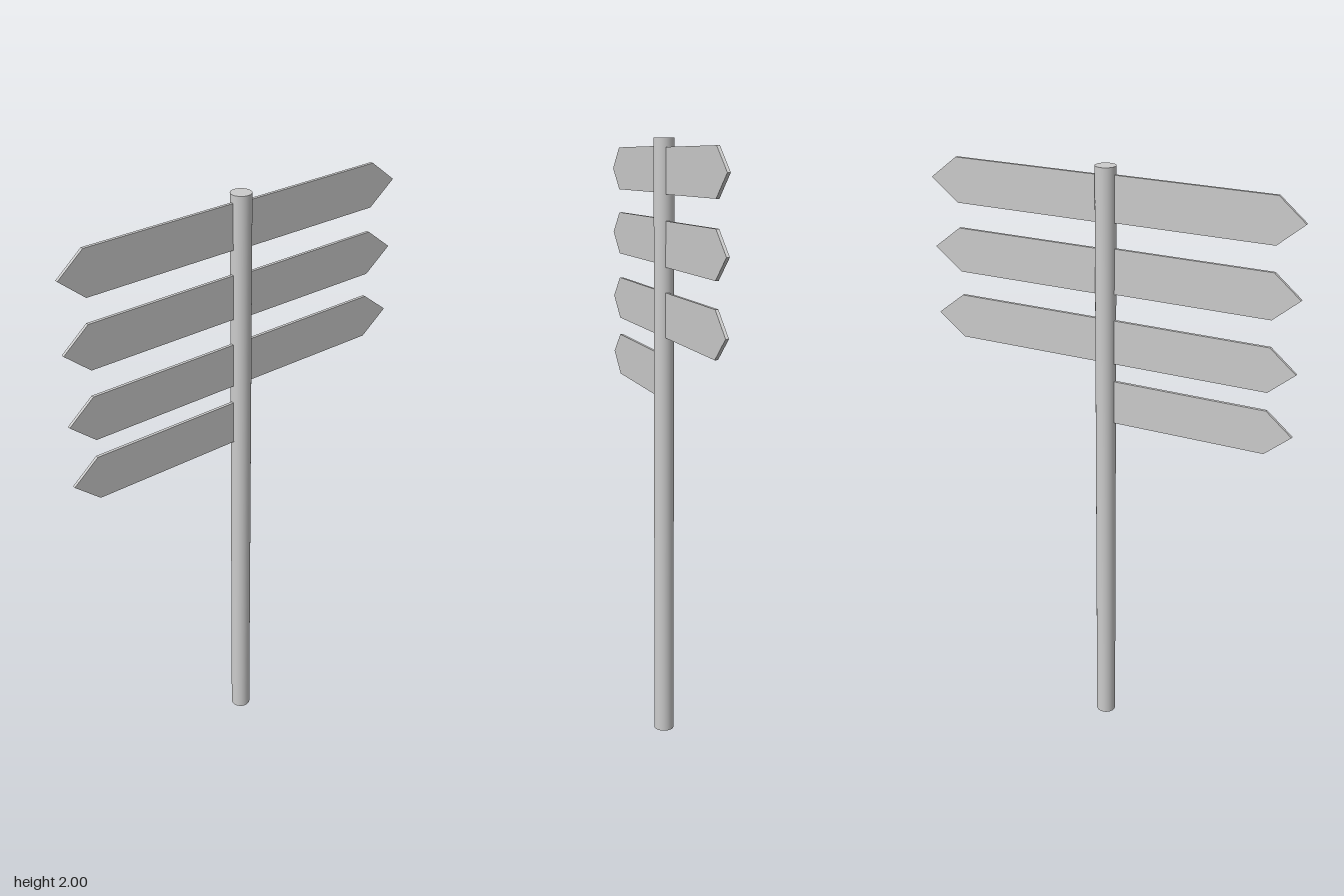
import * as THREE from 'three';

export function createModel() {
  const model = new THREE.Group();
  model.name = 'signpost';
  const material = new THREE.MeshStandardMaterial({ color: 0xcccccc });
  const poleX = 0.009, poleRadius = 0.033;

  // Round pole standing on the ground
  const pole = new THREE.Mesh(new THREE.CylinderGeometry(poleRadius, poleRadius, 2, 32), material);
  pole.name = 'pole';
  pole.position.set(poleX, 1, 0);
  model.add(pole);

  // Thin pointed board from the pole out to its tip
  const boardGeometry = (inner, shoulder, tip) => {
    const h = 0.073, depth = 0.01;
    const shape = new THREE.Shape([
      [inner, -h], [shoulder, -h], [tip, 0], [shoulder, h], [inner, h],
    ].map(([x, y]) => new THREE.Vector2(x, y)));
    return new THREE.ExtrudeGeometry(shape, { depth, bevelEnabled: false }).translate(0, 0, -depth / 2);
  };

  // Arms on each side: board centre heights
  const sides = [
    { name: 'leftArm', heights: [1.898, 1.669, 1.442], geometry: boardGeometry(poleX + 0.025, 0.532, 0.625) },
    { name: 'rightArm', heights: [1.902, 1.675, 1.442, 1.235], geometry: boardGeometry(poleX - 0.025, -0.538, -0.625) },
  ];
  for (const { name, heights, geometry } of sides) {
    heights.forEach((y, i) => {
      const arm = new THREE.Mesh(geometry, material);
      arm.name = `${name}${i + 1}`;
      arm.position.set(0, y, -0.001);
      model.add(arm);
    });
  }
  return model;
}
